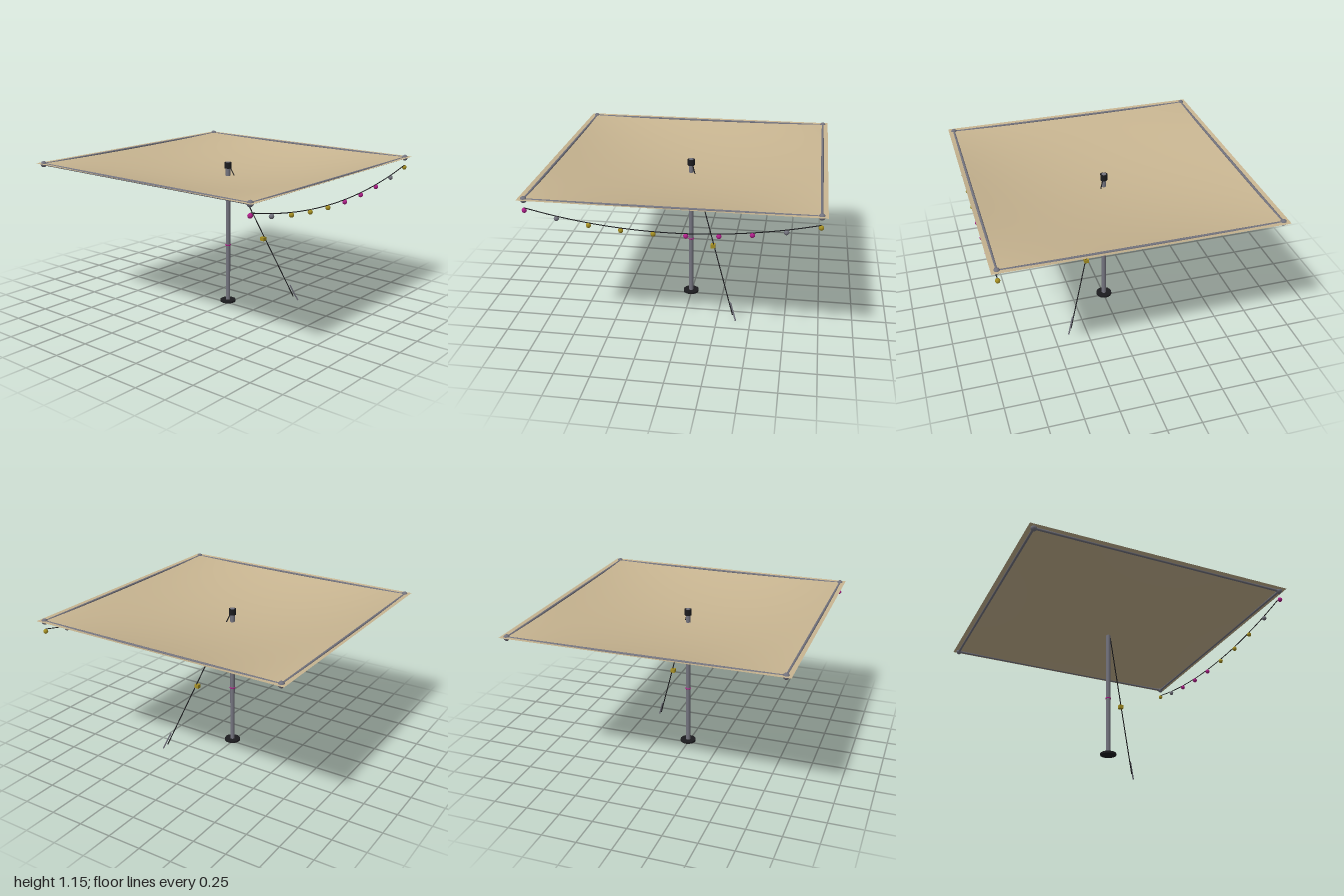
import * as THREE from 'three';

const mat = (name, color, extra = {}) => {
  const m = new THREE.MeshStandardMaterial({ color, ...extra });
  m.name = name;
  return m;
};

export function createModel() {
  const cloth = mat('beige cloth', 0xc8b591, { side: THREE.DoubleSide });
  const metal = mat('grey metal', 0x74747f);
  const black = mat('black', 0x1c1c1f);
  const pink = mat('pink', 0xb0208a);
  const yellow = mat('mustard', 0xa48e22);

  const group = new THREE.Group();
  const add = (name, geometry, material, x = 0, y = 0, z = 0) => {
    const mesh = new THREE.Mesh(geometry, material);
    mesh.name = name;
    mesh.position.set(x, y, z);
    group.add(mesh);
    return mesh;
  };
  // Cylinder between two points
  const rod = (name, a, b, radius, material, sides = 8) => {
    const from = new THREE.Vector3(...a), to = new THREE.Vector3(...b);
    const dir = to.clone().sub(from);
    const mesh = add(name, new THREE.CylinderGeometry(radius, radius, dir.length(), sides), material);
    mesh.position.copy(from).add(to).multiplyScalar(0.5);
    mesh.quaternion.setFromUnitVectors(new THREE.Vector3(0, 1, 0), dir.normalize());
    return mesh;
  };

  // Canopy: square sheet, straight at the edges and sagging to the middle
  const sheet = new THREE.PlaneGeometry(2, 2, 32, 32).rotateX(-Math.PI / 2);
  const p = sheet.attributes.position;
  for (let i = 0; i < p.count; i++) {
    const x = p.getX(i), z = p.getZ(i);
    p.setY(i, 1.137 - 0.119 * (1 - x * x) * (1 - z * z));
  }
  sheet.computeVertexNormals();
  add('canopy', sheet, cloth);

  // Edge frame with corner joints
  const e = 0.96, frameY = 1.13;
  for (const s of [-1, 1]) {
    rod('frameBarAcross', [-e, frameY, s * e], [e, frameY, s * e], 0.0095, metal);
    rod('frameBarAlong', [s * e, frameY, -e], [s * e, frameY, e], 0.0095, metal);
    for (const t of [-1, 1]) {
      add('cornerJoint', new THREE.SphereGeometry(0.023, 8, 6), metal, s * e, frameY, t * e);
    }
  }

  // Centre pole, foot, band and top collar
  rod('pole', [0, 0.02, 0], [0, 1.122, 0], 0.0175, metal, 12);
  add('foot', new THREE.CylinderGeometry(0.06, 0.06, 0.015, 16), black, 0, 0.023, 0);
  add('poleBand', new THREE.TorusGeometry(0.018, 0.005, 6, 16).rotateX(Math.PI / 2), pink, 0, 0.475, 0);
  add('topCollar', new THREE.CylinderGeometry(0.027, 0.027, 0.045, 12), black, 0, 1.097, 0);

  // Guy rope with tensioner and ground stake
  rod('guyRope', [0.005, 1.1, 0.005], [0.366, 0.035, 0.366], 0.004, black, 6);
  add('tensioner', new THREE.BoxGeometry(0.034, 0.028, 0.034), yellow, 0.193, 0.515, 0.193);
  rod('stake', [0.346, 0.13, 0.346], [0.392, 0.002, 0.392], 0.0055, metal, 6);

  // String of lights along the front
  const wireY = (x) => 0.957 + 0.115 * (x / e) ** 2;
  const points = [];
  for (let i = 0; i <= 12; i++) {
    const x = -e + (2 * e * i) / 12;
    points.push(new THREE.Vector3(x, wireY(x), e));
  }
  add('lightWire', new THREE.TubeGeometry(new THREE.CatmullRomCurve3(points), 48, 0.0035, 5), black);
  const bulbs = [pink, metal, yellow, yellow, yellow, pink, pink, pink, metal, yellow];
  bulbs.forEach((material, i) => {
    const x = -e + (2 * e * i) / 9;
    add('bulb', new THREE.SphereGeometry(0.0175, 8, 6), material, x, wireY(x) - 0.017, e);
  });

  return group;
}
